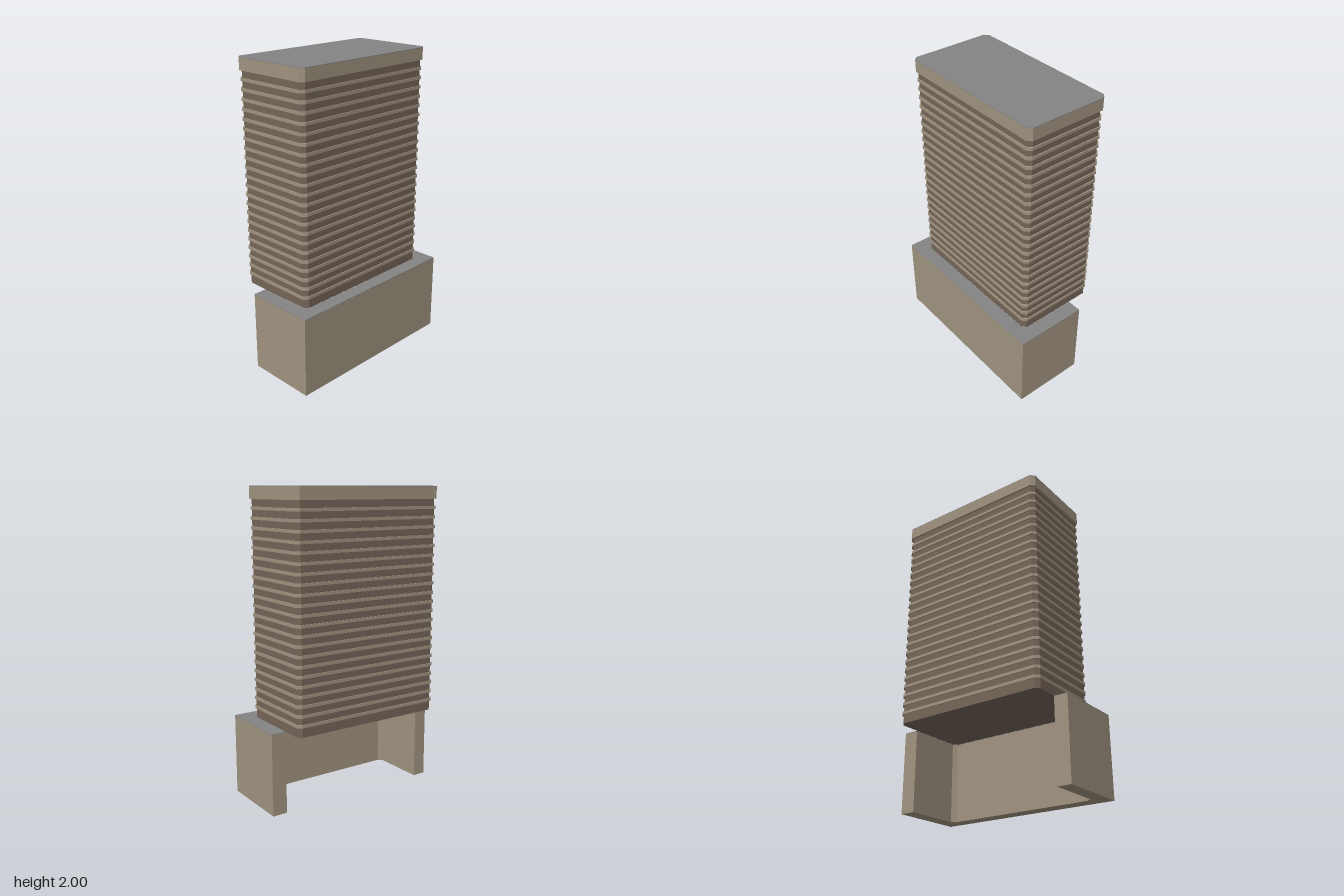
import * as THREE from 'three';

const mat = (name, color) => new THREE.MeshStandardMaterial({ name, color });

// Tower footprint (x, z) with cut corners, shrunk by an inset
function towerOutline(inset) {
  const x0 = -0.535 + inset, x1 = 0.532 - inset;
  const z0 = -0.325 + inset, z1 = 0.24 - inset;
  const c = 0.025;
  return [
    [x0 + c, z1], [x1 - c, z1], [x1, z1 - c], [x1, z0 + c],
    [x1 - c, z0], [x0 + c, z0], [x0, z0 + c], [x0, z1 - c],
  ];
}

// Upright prism from a footprint in x, z
function prism(name, points, y0, y1, material) {
  const shape = new THREE.Shape(points.map(([x, z]) => new THREE.Vector2(x, -z)));
  const geometry = new THREE.ExtrudeGeometry(shape, { depth: y1 - y0, bevelEnabled: false });
  geometry.rotateX(-Math.PI / 2);
  geometry.translate(0, y0, 0);
  const mesh = new THREE.Mesh(geometry, material);
  mesh.name = name;
  return mesh;
}

export function createModel() {
  const stone = mat('stone', 0xa09380);
  const windows = mat('windowBand', 0x756558);
  const roof = mat('roofGrey', 0x848484);
  const model = new THREE.Group();
  model.name = 'officeTower';

  // Podium: a U-shaped wall, open at the back and hollow under the tower
  const podiumTop = 0.53, skin = 0.004;
  const podium = [
    [-0.62, 0.322], [0.62, 0.322], [0.62, -0.16], [0.522, -0.159],
    [0.522, 0.205], [0.497, 0.23], [-0.5, 0.23], [-0.525, 0.205],
    [-0.525, -0.151], [-0.615, -0.15],
  ];
  model.add(prism('podiumWall', podium, 0, podiumTop - skin, stone));
  model.add(prism('podiumRoof', podium, podiumTop - skin, podiumTop, roof));

  // Tower shaft
  const capBottom = 1.92;
  model.add(prism('towerShaft', towerOutline(0.0105), podiumTop, capBottom, windows));

  // Projecting floor bands
  const bands = new THREE.Group();
  bands.name = 'floorBands';
  for (let i = 0; i < 22; i++) {
    const y = 0.6 + i * 0.0603;
    bands.add(prism('floorBand', towerOutline(0.004), y - 0.0095, y + 0.0095, stone));
  }
  model.add(bands);

  // Parapet and roof
  model.add(prism('parapet', towerOutline(0), capBottom, 2 - skin, stone));
  model.add(prism('towerRoof', towerOutline(0), 2 - skin, 2, roof));

  return model;
}
